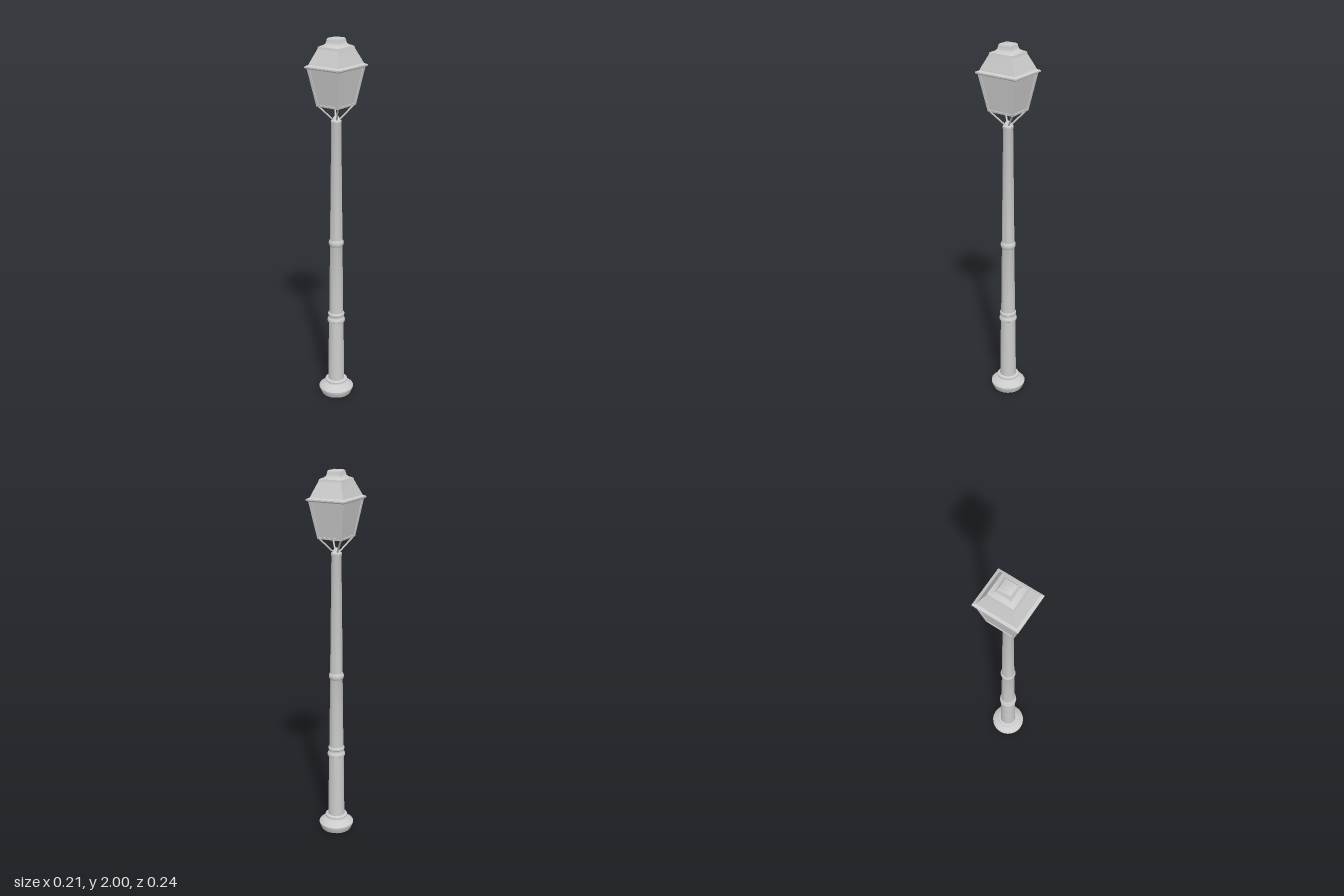
import * as THREE from 'three';
import { toCreasedNormals } from 'three/addons/utils/BufferGeometryUtils.js';

const material = new THREE.MeshStandardMaterial({ color: 0xcccccc, side: THREE.DoubleSide });

function add(parent, name, geometry) {
  const mesh = new THREE.Mesh(geometry, material);
  mesh.name = name;
  parent.add(mesh);
  return mesh;
}

// Stack of rectangular sections [halfX, halfZ, y], bottom to top, closed at both ends
function rectLoft(sections, crease) {
  const pos = [], index = [];
  for (const [x, z, y] of sections) pos.push(-x, y, z, x, y, z, x, y, -z, -x, y, -z);
  for (let i = 0; i < sections.length - 1; i++) {
    for (let k = 0; k < 4; k++) {
      const a = i * 4 + k, b = i * 4 + (k + 1) % 4;
      index.push(a, b, b + 4, a, b + 4, a + 4);
    }
  }
  const t = (sections.length - 1) * 4;
  index.push(0, 2, 1, 0, 3, 2, t, t + 1, t + 2, t, t + 2, t + 3);
  const g = new THREE.BufferGeometry();
  g.setAttribute('position', new THREE.Float32BufferAttribute(pos, 3));
  g.setIndex(index);
  return toCreasedNormals(g, crease);
}

// Trapezoid outline standing between heights y0 and y1
const trapezoid = (w0, w1, y0, y1) =>
  [[-w0, y0], [w0, y0], [w1, y1], [-w1, y1]].map(([x, y]) => new THREE.Vector2(x, y));

// Framed pane: a flat frame with a recessed sheet of glass
function framedPane(name, w0, w1, height, inner) {
  const group = new THREE.Group();
  group.name = name;
  const shape = new THREE.Shape(trapezoid(w0, w1, 0, height));
  shape.holes.push(new THREE.Path(trapezoid(...inner)));
  const frame = new THREE.ExtrudeGeometry(shape, { depth: 0.007, bevelEnabled: false });
  add(group, 'frame', frame.translate(0, 0, -0.007));
  add(group, 'glass', new THREE.ShapeGeometry(new THREE.Shape(trapezoid(...inner))).translate(0, 0, -0.004));
  return group;
}

export function createModel() {
  const model = new THREE.Group();
  model.name = 'streetLamp';

  // Turned post: foot, collar, tapering shaft with rings, domed tip
  const profile = [
    [0, 0], [0.083, 0], [0.088, 0.012], [0.096, 0.03], [0.096, 0.038], [0.082, 0.05],
    [0.052, 0.063], [0.05, 0.07], [0.061, 0.075], [0.061, 0.083], [0.046, 0.088],
    [0.045, 0.12], [0.041, 0.445], [0.048, 0.45], [0.049, 0.459], [0.046, 0.467],
    [0.041, 0.473], [0.041, 0.485], [0.045, 0.489], [0.045, 0.496], [0.039, 0.503],
    [0.034, 0.895], [0.039, 0.903], [0.041, 0.915], [0.039, 0.925], [0.034, 0.932],
    [0.026, 1.565], [0.028, 1.57], [0.028, 1.582], [0.02, 1.588], [0.015, 1.6],
    [0.008, 1.608], [0, 1.61],
  ].map(([r, y]) => new THREE.Vector2(r, y));
  add(model, 'post', toCreasedNormals(new THREE.LatheGeometry(profile, 24), 0.6));

  const lantern = new THREE.Group();
  lantern.name = 'lantern';
  model.add(lantern);

  // Four slanting sides, each leaning outwards
  const y0 = 1.66, rise = 0.195;
  const low = { x: 0.068, z: 0.077 }, high = { x: 0.1, z: 0.113 };
  for (let i = 0; i < 4; i++) {
    const [out, across] = i % 2 ? ['x', 'z'] : ['z', 'x'];
    const lean = high[out] - low[out], slant = Math.hypot(rise, lean);
    const inner = [low[across] - 0.011, high[across] - 0.019, 0.01, slant - 0.01];
    const pane = framedPane('lanternSide', low[across], high[across], slant, inner);
    pane.position.z = low[out];
    pane.rotation.x = Math.atan2(lean, rise);
    const turn = new THREE.Group();
    turn.name = 'lanternSideMount';
    turn.position.y = y0;
    turn.rotation.y = i * Math.PI / 2;
    turn.add(pane);
    lantern.add(turn);
  }

  // Framed underside
  const floor = framedPane('lanternFloor', low.x, low.x, low.z * 2,
    [low.x - 0.011, low.x - 0.011, 0.011, low.z * 2 - 0.011]);
  floor.rotation.x = Math.PI / 2;
  floor.position.set(0, y0, -low.z);
  lantern.add(floor);

  // Roof with eaves, and the curved cap above it
  add(lantern, 'roof', rectLoft([
    [0.1, 0.114, 1.85], [0.107, 0.122, 1.856], [0.107, 0.122, 1.863], [0.093, 0.107, 1.87],
    [0.088, 0.1, 1.885], [0.064, 0.071, 1.945], [0.061, 0.068, 1.957],
  ], 0.2));
  add(lantern, 'roofCap', rectLoft([
    [0.061, 0.068, 1.957], [0.052, 0.057, 1.962], [0.043, 0.046, 1.966],
    [0.037, 0.039, 1.973], [0.034, 0.036, 1.985], [0.032, 0.034, 1.996], [0.027, 0.029, 2],
  ], 0.9));

  // Thin arms from the post tip to the lantern's lower corners
  for (const sx of [-1, 1]) for (const sz of [-1, 1]) {
    const from = new THREE.Vector3(sx * 0.012, 1.588, sz * 0.012);
    const to = new THREE.Vector3(sx * 0.063, y0 + 0.003, sz * 0.071);
    add(lantern, 'arm', new THREE.TubeGeometry(new THREE.LineCurve3(from, to), 1, 0.0045, 8));
  }
  return model;
}
